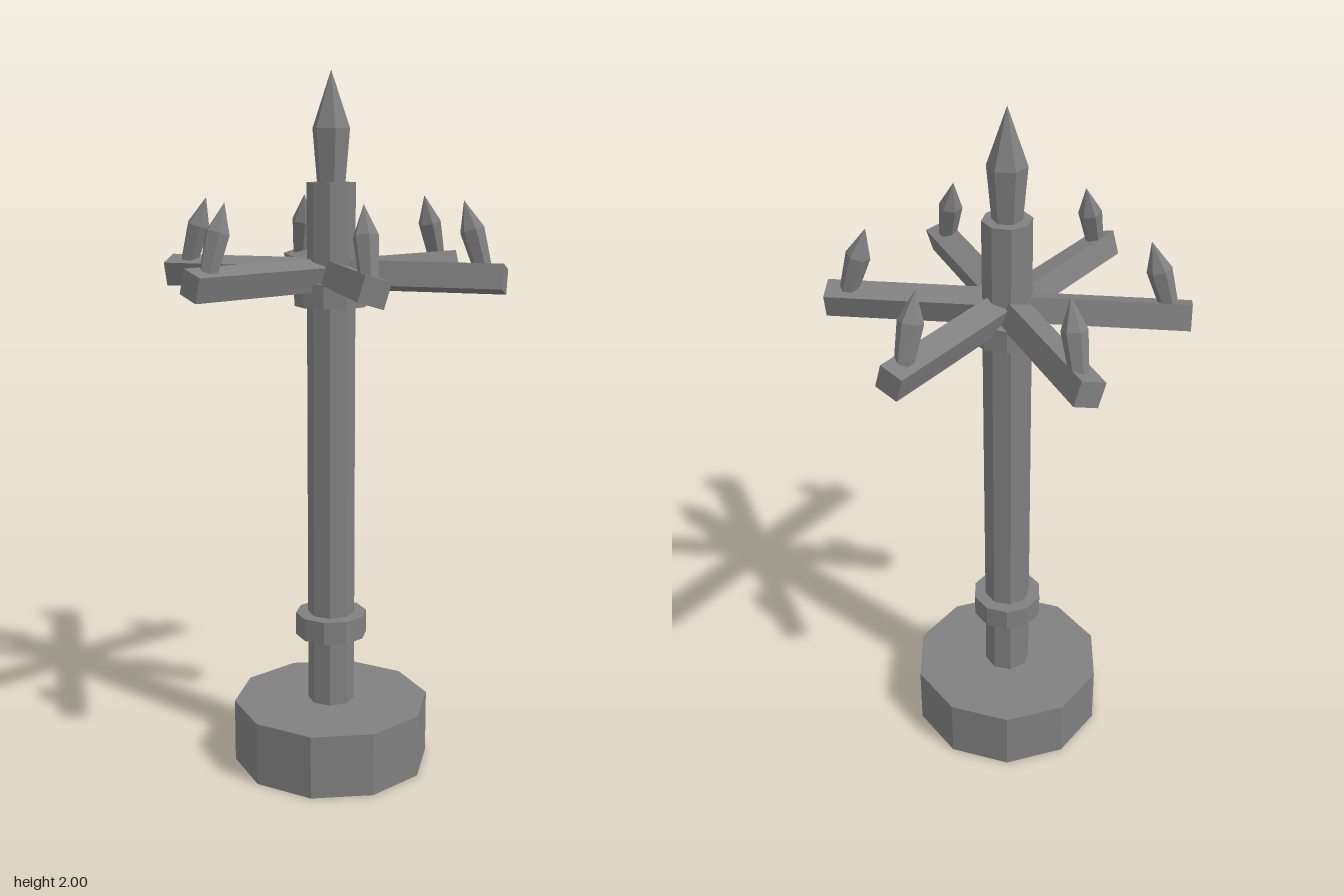
import * as THREE from 'three';

export function createModel() {
  const model = new THREE.Group();
  model.name = 'spikedPost';
  const stone = new THREE.MeshStandardMaterial({ color: 0x808080, flatShading: true });
  stone.name = 'grey';

  const add = (name, geometry, parent = model) => {
    const mesh = new THREE.Mesh(geometry, stone);
    mesh.name = name;
    parent.add(mesh);
    return mesh;
  };

  // Upright prism between two heights; a corner always points along x
  const prism = (name, radius, y0, y1, sides) => {
    const turn = sides === 10 ? Math.PI / 10 : 0;
    const g = new THREE.CylinderGeometry(radius, radius, y1 - y0, sides, 1, false, turn);
    return add(name, g.translate(0, (y0 + y1) / 2, 0));
  };

  // Six-sided pointed spike: tapered shaft, shoulder, tip
  const spike = (baseRadius, shoulderRadius, shoulderY, tipY) =>
    new THREE.LatheGeometry([
      new THREE.Vector2(0, 0),
      new THREE.Vector2(baseRadius, 0),
      new THREE.Vector2(shoulderRadius, shoulderY),
      new THREE.Vector2(0, tipY),
    ], 6, Math.PI / 6);

  prism('base', 0.288, 0, 0.185, 10);
  prism('post', 0.068, 0.185, 1.7, 8);
  prism('lowerCollar', 0.104, 0.388, 0.455, 10);
  prism('upperCollar', 0.104, 1.36, 1.427, 10);
  add('finial', spike(0.041, 0.054, 0.147, 0.302)).position.y = 1.698;

  // Six radial arms, each twisted about its length and carrying an inward-leaning spike
  const armGeometry = new THREE.BoxGeometry(0.49, 0.07, 0.07)
    .translate(0.245, 0, 0)
    .rotateX(-THREE.MathUtils.degToRad(17));
  const armSpikeGeometry = spike(0.025, 0.034, 0.112, 0.194);
  for (let i = 0; i < 6; i++) {
    const arm = new THREE.Group();
    arm.name = 'arm' + (i + 1);
    arm.position.y = 1.447;
    arm.rotation.y = (i * Math.PI) / 3;
    add('armBeam', armGeometry, arm);
    const tip = add('armSpike', armSpikeGeometry, arm);
    tip.position.set(0.43, 0.023, 0);
    tip.rotation.z = THREE.MathUtils.degToRad(17);
    model.add(arm);
  }
  return model;
}
